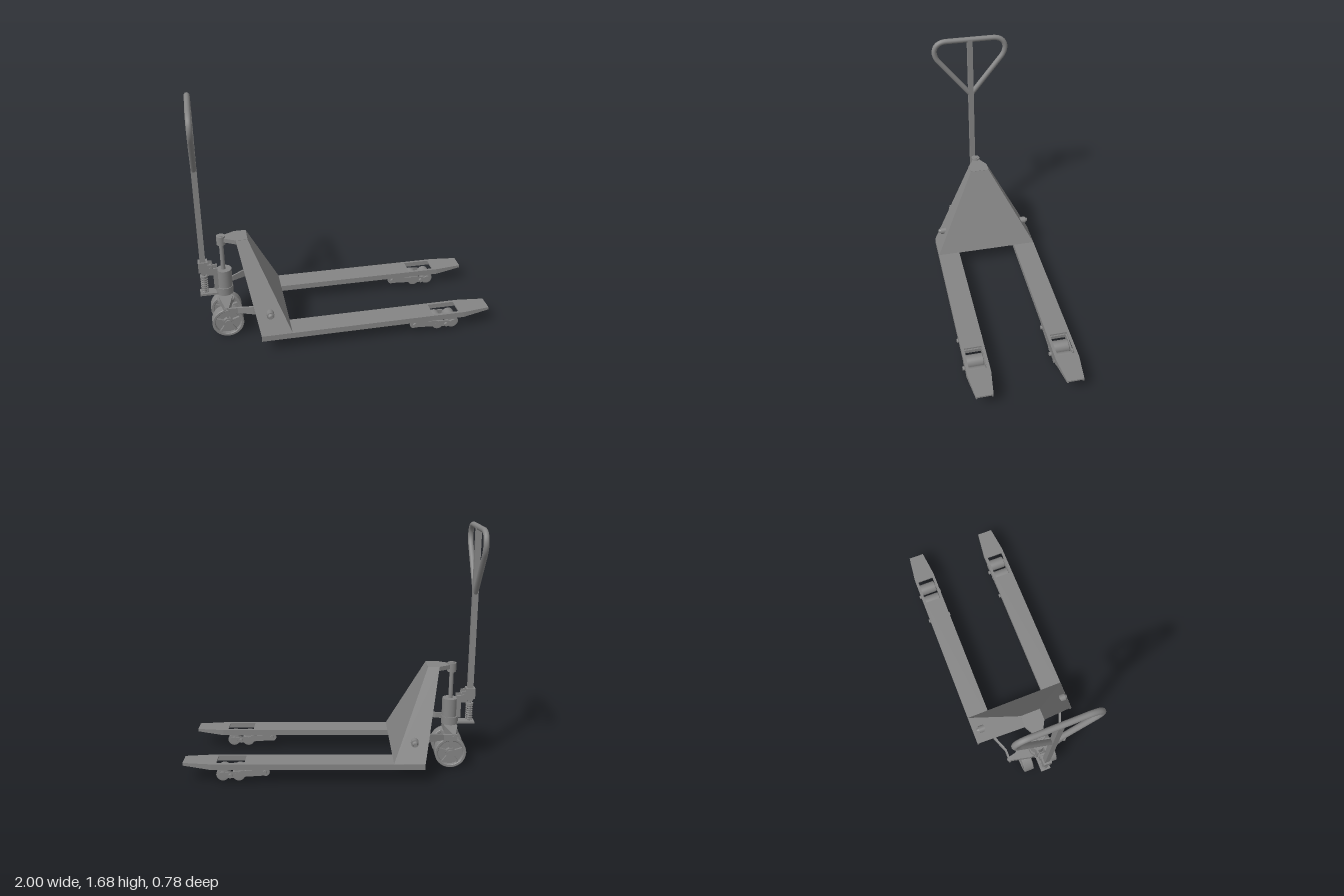
import * as THREE from 'three';

const mat = new THREE.MeshStandardMaterial({ color: 0x858585, side: THREE.DoubleSide });
const V = (x, y, z) => new THREE.Vector3(x, y, z);

function add(parent, name, geo, x = 0, y = 0, z = 0) {
  const m = new THREE.Mesh(geo, mat);
  m.name = name;
  m.position.set(x, y, z);
  parent.add(m);
  return m;
}

const box = (p, name, w, h, d, x, y, z) => add(p, name, new THREE.BoxGeometry(w, h, d), x, y, z);

// Cylinder along y, or along z when axis is 'z'; r2 is the radius at the + end
function cyl(p, name, r, len, axis, x, y, z, r2 = r, seg = 24) {
  const g = new THREE.CylinderGeometry(r2, r, len, seg);
  if (axis === 'z') g.rotateX(Math.PI / 2);
  return add(p, name, g, x, y, z);
}

// Solid between two matching quads
function block(p, name, a, b) {
  const c = [...a, ...b].map(q => V(...q));
  const faces = [[3, 2, 1, 0], [4, 5, 6, 7], [0, 1, 5, 4], [1, 2, 6, 5], [2, 3, 7, 6], [3, 0, 4, 7]];
  let tris = faces.flatMap(([i, j, k, l]) => [[i, j, k], [i, k, l]]);
  const mid = c.reduce((s, v) => s.add(v), V(0, 0, 0)).divideScalar(8);
  let vol = 0;
  for (const [i, j, k] of tris) {
    vol += c[i].clone().sub(mid).dot(c[j].clone().sub(mid).cross(c[k].clone().sub(mid)));
  }
  if (vol < 0) tris = tris.map(t => [t[0], t[2], t[1]]);
  const g = new THREE.BufferGeometry().setFromPoints(tris.flat().map(i => c[i]));
  g.computeVertexNormals();
  return add(p, name, g);
}

// Thin plate: a quad pushed along an offset
const plate = (p, name, q, o) => block(p, name, q, q.map(c => c.map((v, i) => v + o[i])));

// Plate outline in x/z, extruded up from y
function flat(p, name, pts, y, h, hole) {
  const s = new THREE.Shape(pts.map(([x, z]) => new THREE.Vector2(x, -z)));
  if (hole) s.holes.push(new THREE.Path(hole.map(([x, z]) => new THREE.Vector2(x, -z))));
  const g = new THREE.ExtrudeGeometry(s, { depth: h, bevelEnabled: false });
  g.rotateX(-Math.PI / 2);
  return add(p, name, g, 0, y, 0);
}

function makeFork(s) {
  const f = new THREE.Group();
  f.name = 'fork';
  const zc = s * 0.3;
  const rect = (x0, x1, h) => [[x0, zc - h], [x1, zc - h], [x1, zc + h], [x0, zc + h]];
  flat(f, 'forkTop', [[-0.62, zc - 0.08], [0.81, zc - 0.08], [1, zc - 0.057], [1, zc + 0.057],
    [0.81, zc + 0.08], [-0.62, zc + 0.08]], 0.13, 0.011, rect(0.585, 0.775, 0.06));
  for (const e of [-1, 1]) {
    // Side flange with a tapered tip
    const edge = (x, y, h) => [[x, y, zc + e * h], [x, 0.14, zc + e * h],
      [x, 0.14, zc + e * (h - 0.01)], [x, y, zc + e * (h - 0.01)]];
    block(f, 'forkFlange', edge(-0.62, 0.1, 0.08), edge(0.81, 0.1, 0.08));
    block(f, 'forkTipFlange', edge(0.81, 0.1, 0.08), edge(1, 0.122, 0.057));
    // Rocker arm and roller cheek plates
    const z = zc + e * 0.063;
    const arm = q => q.map(([x, y]) => [x, y, z]);
    plate(f, 'rockerArm', arm([[0.43, 0.058], [0.43, 0.105], [0.7, 0.08], [0.7, 0.04]]), [0, 0, e * 0.01]);
    box(f, 'rollerCheek', 0.105, 0.035, 0.01, 0.68, 0.057, z + e * 0.005);
    for (const x of [0.627, 0.734]) cyl(f, 'cheekEnd', 0.024, 0.012, 'z', x, 0.057, z + e * 0.005);
    cyl(f, 'rockerEnd', 0.028, 0.012, 'z', 0.445, 0.082, z + e * 0.005);
    cyl(f, 'pivotBolt', 0.014, 0.02, 'z', 0.45, 0.082, zc + e * 0.079);
    cyl(f, 'bogieBolt', 0.014, 0.02, 'z', 0.68, 0.057, zc + e * 0.079);
  }
  cyl(f, 'pivotPin', 0.016, 0.14, 'z', 0.45, 0.082, zc);
  box(f, 'rockerBridge', 0.06, 0.025, 0.13, 0.53, 0.078, zc);
  for (const x of [0.627, 0.734]) {
    const r = new THREE.LatheGeometry([[0, -0.06], [0.04, -0.06], [0.044, -0.056], [0.044, 0.056],
      [0.04, 0.06], [0, 0.06]].map(q => new THREE.Vector2(...q)), 28);
    r.rotateX(Math.PI / 2);
    add(f, 'loadRoller', r, x, 0.056, zc);
  }
  return f;
}

function makeWheel(z) {
  const w = new THREE.Group();
  w.name = 'steerWheel';
  w.position.set(-0.827, 0.11, z);
  const ring = new THREE.Shape().absarc(0, 0, 0.106, 0, Math.PI * 2);
  ring.holes.push(new THREE.Path().absarc(0, 0, 0.092, 0, Math.PI * 2));
  const g = new THREE.ExtrudeGeometry(ring, { depth: 0.064, bevelSize: 0.004, bevelThickness: 0.004,
    bevelSegments: 1, curveSegments: 24 });
  add(w, 'tyre', g, 0, 0, -0.032);
  cyl(w, 'web', 0.092, 0.02, 'z', 0, 0, 0);
  cyl(w, 'hub', 0.035, 0.07, 'z', 0, 0, 0);
  cyl(w, 'axleEnd', 0.024, 0.09, 'z', 0, 0, 0);
  for (let i = 0; i < 5; i++) {
    const a = Math.PI / 2 + i * Math.PI * 0.4;
    box(w, 'spoke', 0.07, 0.016, 0.055, Math.cos(a) * 0.057, Math.sin(a) * 0.057, 0).rotation.z = a;
  }
  return w;
}

function makeMast() {
  const g = new THREE.Group();
  g.name = 'mast';
  // Sloping front panel, two side panels and the cap plate
  plate(g, 'frontPanel', [[-0.41, 0.14, 0.38], [-0.41, 0.14, -0.38], [-0.655, 0.72, -0.07], [-0.655, 0.72, 0.07]],
    [-0.012, -0.004, 0]);
  for (const s of [-1, 1]) {
    plate(g, 'sidePanel', [[-0.62, 0.14, s * 0.38], [-0.41, 0.14, s * 0.38], [-0.655, 0.72, s * 0.07],
      [-0.735, 0.72, s * 0.07]], [0, -0.005, -s * 0.01]);
    cyl(g, 'pivotBoss', 0.026, 0.058, 'z', -0.55, 0.27, s * 0.312);
    const [inner, outer] = s > 0 ? [0.02, 0.012] : [0.012, 0.02];
    cyl(g, 'pivotCap', inner, 0.018, 'z', -0.55, 0.27, s * 0.349, outer);
  }
  cyl(g, 'crossTube', 0.022, 0.6, 'z', -0.55, 0.27, 0);
  flat(g, 'capPlate', [[-0.655, 0.07], [-0.655, -0.07], [-0.735, -0.07], [-0.815, -0.025],
    [-0.815, 0.025], [-0.735, 0.07]], 0.692, 0.03);
  return g;
}

function makePump() {
  const g = new THREE.Group();
  g.name = 'hydraulicPump';
  const x = -0.83;
  cyl(g, 'axleHousing', 0.03, 0.13, 'z', x, 0.115, 0);
  cyl(g, 'steeringColumn', 0.035, 0.17, 'y', x, 0.2, 0);
  cyl(g, 'turntable', 0.06, 0.02, 'y', x, 0.226, 0);
  cyl(g, 'pumpFoot', 0.06, 0.055, 'y', x, 0.317, 0);
  cyl(g, 'pumpBody', 0.052, 0.14, 'y', x + 0.005, 0.405, 0);
  cyl(g, 'pistonRod', 0.015, 0.21, 'y', x, 0.575, 0);
  cyl(g, 'pistonCap', 0.031, 0.063, 'y', x, 0.701, 0);
  cyl(g, 'capNut', 0.02, 0.006, 'y', x, 0.733, 0, 0.02, 6);
  // Diamond crosshead carrying the lift links
  flat(g, 'crosshead', [[x - 0.045, -0.07], [x - 0.012, -0.215], [x + 0.012, -0.215], [x + 0.045, -0.07],
    [x + 0.045, 0.07], [x + 0.012, 0.215], [x - 0.012, 0.215], [x - 0.045, 0.07]], 0.24, 0.05);
  for (const s of [-1, 1]) {
    const path = [[-0.85, 0.24, 0.285, 0.213], [-0.76, 0.245, 0.285, 0.213], [-0.66, 0.248, 0.306, 0.255],
      [-0.55, 0.25, 0.295, 0.285]];
    const cut = ([px, y0, y1, z]) => [[px, y0, s * z - 0.007], [px, y1, s * z - 0.007],
      [px, y1, s * z + 0.007], [px, y0, s * z + 0.007]];
    for (let i = 0; i < 3; i++) block(g, 'liftLink', cut(path[i]), cut(path[i + 1]));
    cyl(g, 'linkPin', 0.013, 0.03, 'z', x, 0.265, s * 0.213);
  }
  // Pump plunger and its spring
  box(g, 'plungerPlate', 0.16, 0.015, 0.07, -0.92, 0.3, 0);
  cyl(g, 'plunger', 0.012, 0.2, 'y', -0.965, 0.39, 0);
  cyl(g, 'springSeat', 0.027, 0.012, 'y', -0.965, 0.432, 0);
  const pts = [];
  for (let i = 0; i <= 84; i++) {
    const a = i / 12 * Math.PI * 2;
    pts.push(V(Math.cos(a) * 0.021, 0.31 + i / 84 * 0.115, Math.sin(a) * 0.021));
  }
  add(g, 'spring', new THREE.TubeGeometry(new THREE.CatmullRomCurve3(pts), 168, 0.005, 6), -0.965, 0, 0);
  return g;
}

function makeHandle() {
  const g = new THREE.Group();
  g.name = 'handle';
  const x = -0.965;
  // Tilting bracket at the foot of the tiller
  box(g, 'tillerSocket', 0.065, 0.075, 0.06, -0.965, 0.512, 0);
  cyl(g, 'socketRoller', 0.022, 0.05, 'z', -0.965, 0.475, 0);
  for (const s of [-1, 1]) {
    plate(g, 'bracketCheek', [[-0.945, 0.45], [-0.945, 0.535], [-0.905, 0.53], [-0.89, 0.45]]
      .map(([a, b]) => [a, b, s * 0.022]), [0, 0, s * 0.012]);
    box(g, 'bracketLeg', 0.03, 0.16, 0.012, -0.885, 0.42, s * 0.028);
  }
  cyl(g, 'bracketPin', 0.012, 0.08, 'z', -0.915, 0.5, 0);
  box(g, 'tiller', 0.038, 1.12, 0.038, x, 1.1, 0);
  // Rounded triangular grip loop
  const loop = new THREE.CurvePath();
  const line = (a, b) => loop.add(new THREE.LineCurve3(a, b));
  const bend = (a, c1, c2, b) => loop.add(new THREE.CubicBezierCurve3(a, c1, c2, b));
  line(V(x, 1.22, 0), V(x, 1.512, 0.236));
  bend(V(x, 1.512, 0.236), V(x, 1.575, 0.285), V(x, 1.662, 0.27), V(x, 1.662, 0.17));
  line(V(x, 1.662, 0.17), V(x, 1.662, -0.17));
  bend(V(x, 1.662, -0.17), V(x, 1.662, -0.27), V(x, 1.575, -0.285), V(x, 1.512, -0.236));
  line(V(x, 1.512, -0.236), V(x, 1.22, 0));
  add(g, 'gripLoop', new THREE.TubeGeometry(loop, 120, 0.019, 12));
  return g;
}

export function createModel() {
  const root = new THREE.Group();
  root.name = 'palletJack';
  for (const s of [-1, 1]) root.add(makeFork(s), makeWheel(s * 0.092));
  root.add(makeMast(), makePump(), makeHandle());
  return root;
}
